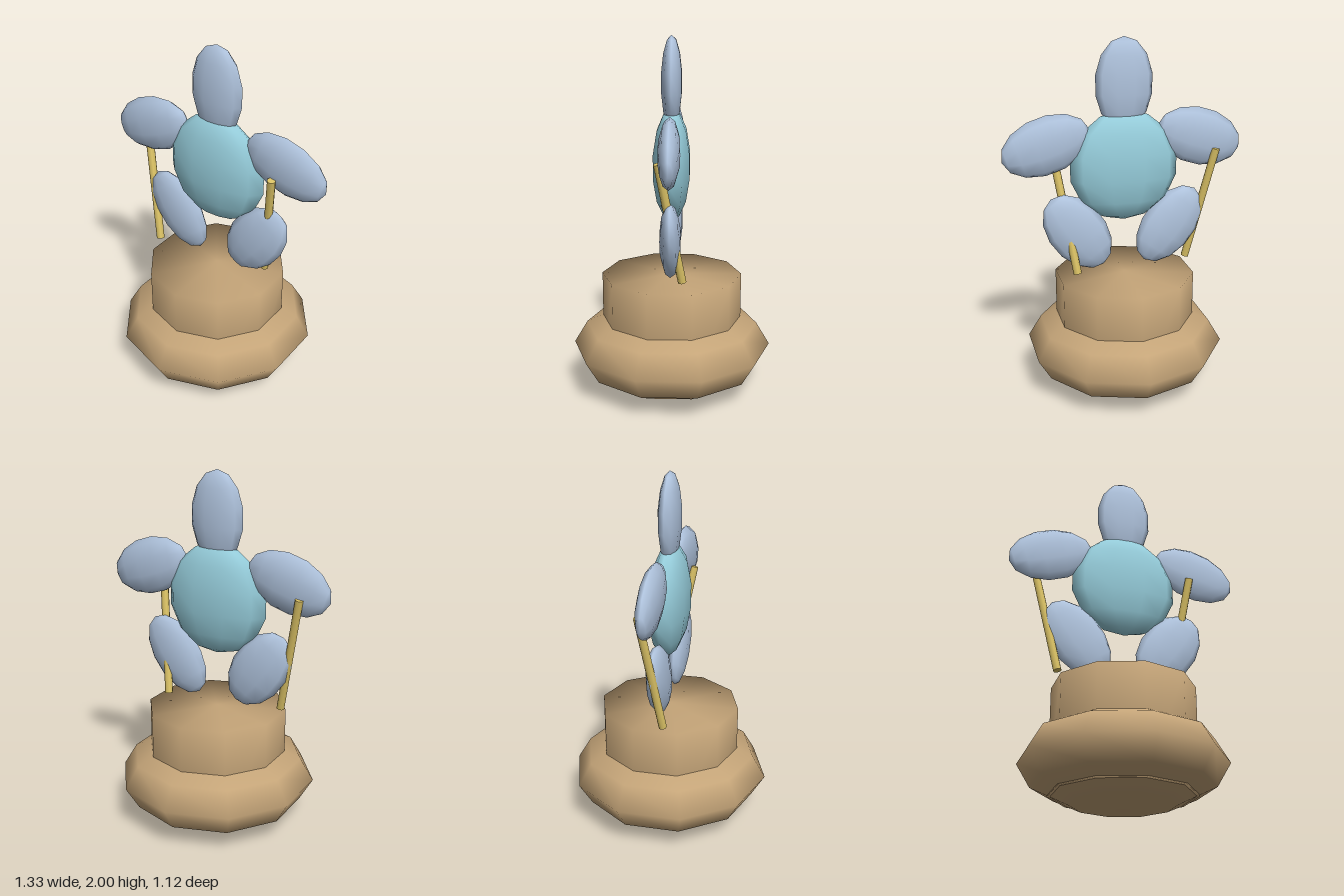
import * as THREE from 'three';
import { mergeVertices } from 'three/addons/utils/BufferGeometryUtils.js';

const material = (name, color) => {
  const m = new THREE.MeshStandardMaterial({ color });
  m.name = name;
  return m;
};

// Weld the seams so the low-poly form shades smoothly across its rims
function weld(geometry) {
  geometry.deleteAttribute('uv');
  geometry.deleteAttribute('normal');
  const g = mergeVertices(geometry, 1e-4);
  g.computeVertexNormals();
  return g;
}

export function createModel() {
  const model = new THREE.Group();
  model.name = 'flowerInPot';
  const clay = material('tan clay', 0xc4a478);
  const petalBlue = material('pale blue', 0xb0c4de);
  const heartTeal = material('soft teal', 0x96cddb);
  const straw = material('straw yellow', 0xdcc366);

  const add = (name, geometry, mat, x = 0, y = 0, z = 0) => {
    const mesh = new THREE.Mesh(geometry, mat);
    mesh.name = name;
    mesh.position.set(x, y, z);
    model.add(mesh);
    return mesh;
  };
  const ellipsoid = (rx, ry, rz, rings) =>
    new THREE.SphereGeometry(1, 10, rings).scale(rx, ry, rz);

  // Pot: ten-sided drum set into a squashed bulb
  add('potDrum', weld(new THREE.CylinderGeometry(0.394, 0.394, 0.597, 10)), clay, 0, 0.3765);
  const bulb = add('potBulb', ellipsoid(0.562, 0.253, 0.562, 6), clay, 0, 0.253);
  bulb.rotation.y = Math.PI / 2;

  // Flower heart
  const centreY = 1.3;
  add('flowerHeart', ellipsoid(0.308, 0.31, 0.107, 7), heartTeal, 0, centreY);

  // Five petals on a ring, each turned against its place on the ring
  const petal = ellipsoid(0.16, 0.25, 0.059, 7);
  for (let i = 0; i < 5; i++) {
    const a = (i * Math.PI * 2) / 5;
    const mesh = add('petal' + (i + 1), petal, petalBlue,
      Math.sin(a) * 0.45, centreY + Math.cos(a) * 0.45, 0);
    mesh.rotation.z = a;
  }

  // Two leaning stakes, given by their bottom and top ends
  const stake = (name, bottom, top) => {
    const a = new THREE.Vector3(...bottom);
    const b = new THREE.Vector3(...top);
    const axis = b.clone().sub(a);
    const mesh = add(name, new THREE.CylinderGeometry(0.023, 0.023, axis.length(), 8), straw);
    mesh.position.copy(a).add(b).multiplyScalar(0.5);
    mesh.quaternion.setFromUnitVectors(new THREE.Vector3(0, 1, 0), axis.normalize());
  };
  stake('leftStake', [0.283, 0.715, -0.065], [0.382, 1.375, 0.06]);
  stake('rightStake', [-0.378, 0.715, 0.045], [-0.513, 1.375, -0.05]);

  return model;
}
